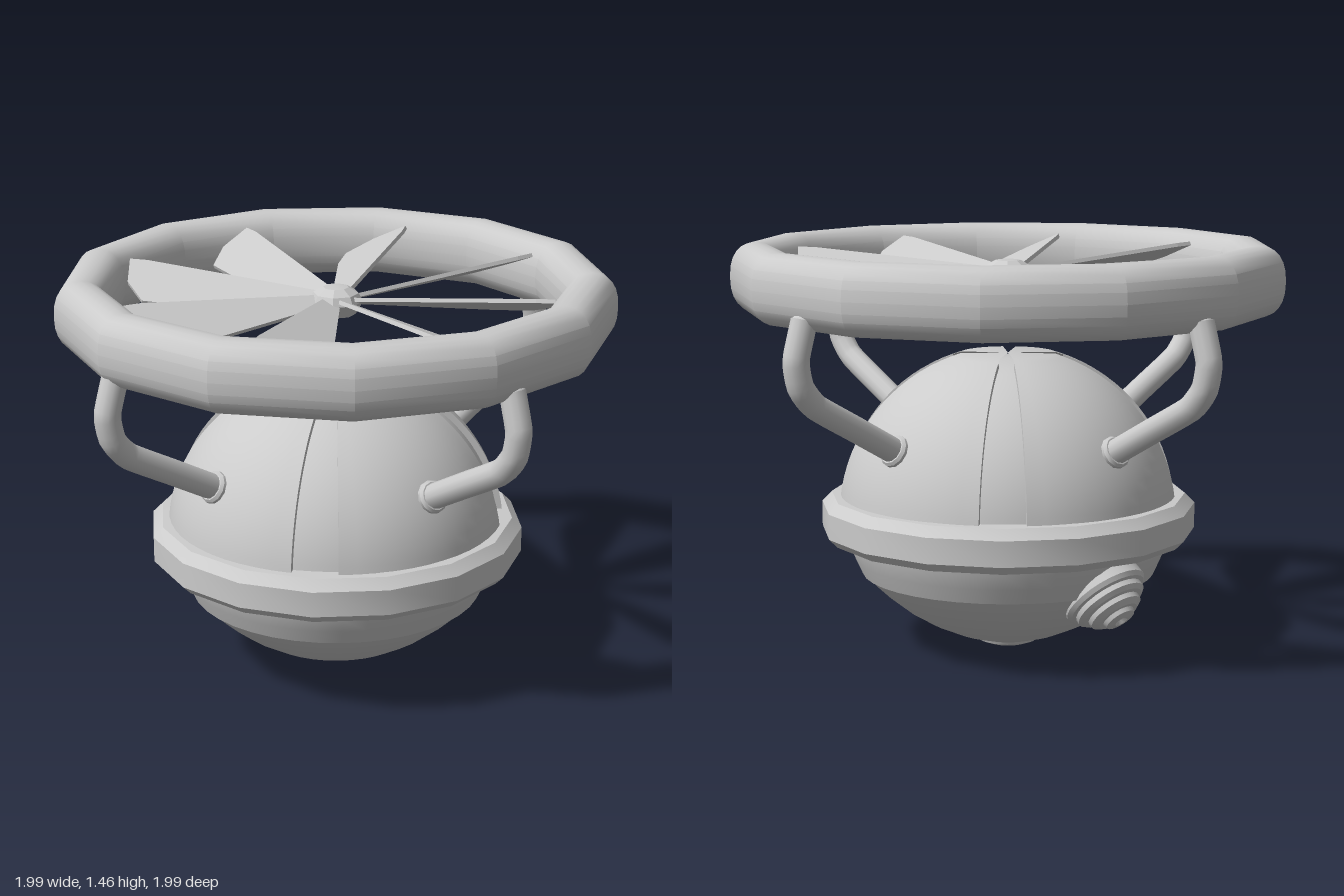
import * as THREE from 'three';
import { toCreasedNormals } from 'three/addons/utils/BufferGeometryUtils.js';

const grey = new THREE.MeshStandardMaterial({ color: 0xcccccc });
const greyDouble = new THREE.MeshStandardMaterial({ color: 0xcccccc, side: THREE.DoubleSide });

function add(parent, name, geometry, material = grey) {
  const mesh = new THREE.Mesh(geometry, material);
  mesh.name = name;
  parent.add(mesh);
  return mesh;
}

// Turned part from [radius, height] pairs listed from bottom to top
function turned(points, segments, start = 0, length = Math.PI * 2, crease = 0.5) {
  const profile = points.map(([r, y]) => new THREE.Vector2(r, y));
  return toCreasedNormals(new THREE.LatheGeometry(profile, segments, start, length), crease);
}

// Arc of a sphere profile, from a low to a high elevation angle
function arcProfile(radius, centreY, from, to, steps) {
  return Array.from({ length: steps + 1 }, (_, i) => {
    const a = from + (to - from) * i / steps;
    return [radius * Math.cos(a), centreY + radius * Math.sin(a)];
  });
}

export function createModel() {
  const model = new THREE.Group();
  model.name = 'fanPod';

  // Dome: a recessed core with four raised panels and the walls of the gaps
  const domeY = 0.479, panelR = 0.605, coreR = 0.583;
  const low = 0.1, high = 1.235, halfGap = 0.135;
  const panelArc = arcProfile(panelR, domeY, low, high, 16);
  const dome = new THREE.Group();
  dome.name = 'dome';
  model.add(dome);
  add(dome, 'domeCore', turned([...arcProfile(coreR, domeY, low, high, 16), [0, 1.04]], 48));
  for (let i = 0; i < 4; i++) {
    const start = i * Math.PI / 2 - Math.PI / 4 + halfGap;
    const length = Math.PI / 2 - 2 * halfGap;
    add(dome, 'domePanel', turned([...panelArc, [0.17, 1.06], [0, 1.06]], 12, start, length), greyDouble);
    for (const angle of [start, start + length]) {
      const wall = add(dome, 'panelEdge',
        new THREE.RingGeometry(coreR - 0.01, panelR, 16, 1, low, high - low), greyDouble);
      wall.position.y = domeY;
      wall.rotation.y = angle - Math.PI / 2;
    }
  }

  // Belt around the middle
  add(model, 'belt', turned([
    [0.54, 0.4], [0.64, 0.4], [0.67, 0.43], [0.67, 0.52], [0.635, 0.555], [0.54, 0.56],
  ], 16));

  // Bowl: band, seam and rounded bottom
  add(model, 'bowlBand', turned([
    [0.5, 0.265], [0.525, 0.27], [0.55, 0.325], [0.57, 0.375], [0.58, 0.42],
  ], 40));
  add(model, 'bowl', turned([
    [0, 0.018], [0.11, 0.025], [0.2, 0.052], [0.29, 0.092], [0.37, 0.14],
    [0.44, 0.195], [0.49, 0.242], [0.515, 0.27],
  ], 40));
  add(model, 'bottomCap', turned([
    [0, 0.008], [0.025, 0], [0.07, 0.002], [0.105, 0.015], [0.112, 0.03],
  ], 24));

  // Stepped port low on the back, pointing outward and down
  const port = add(model, 'rearPort', turned([
    [0.15, -0.05], [0.155, 0.005], [0.145, 0.02], [0.13, 0.024], [0.13, 0.042],
    [0.115, 0.055], [0.1, 0.058], [0.098, 0.075], [0.075, 0.09], [0.06, 0.09],
    [0.055, 0.105], [0.025, 0.112], [0.015, 0.1], [0, 0.1],
  ], 24));
  port.position.set(0, 0.26, -0.49);
  port.quaternion.setFromUnitVectors(
    new THREE.Vector3(0, 1, 0), new THREE.Vector3(0, -0.7, -0.714).normalize());

  // Thirteen-sided duct ring with an oval section
  const section = Array.from({ length: 25 }, (_, i) => {
    const a = i / 24 * Math.PI * 2, c = Math.cos(a), s = Math.sin(a);
    return [0.886 + 0.094 * Math.sign(c) * Math.abs(c) ** 0.85,
      1.332 + 0.123 * Math.sign(s) * Math.abs(s) ** 0.85];
  });
  add(model, 'ductRing', turned(section, 13, -Math.PI / 2));

  // Four bent struts with collars
  const path = new THREE.CatmullRomCurve3([
    [0.5, 0.75], [0.7, 0.862], [0.875, 0.96], [0.935, 1.03], [0.952, 1.12], [0.915, 1.25],
  ].map(([x, y]) => new THREE.Vector3(x, y, 0)), false, 'catmullrom', 0.25);
  const strutGeometry = new THREE.TubeGeometry(path, 30, 0.045, 12);
  const collarGeometry = turned([
    [0.04, -0.05], [0.058, -0.05], [0.058, 0.015], [0.05, 0.025], [0.04, 0.025],
  ], 12, 0, Math.PI * 2, 0.6);
  for (let i = 0; i < 4; i++) {
    const strut = new THREE.Group();
    strut.name = 'strut';
    strut.rotation.y = i * Math.PI / 2;
    model.add(strut);
    add(strut, 'strutPipe', strutGeometry);
    const tip = add(strut, 'strutEnd', new THREE.SphereGeometry(0.045, 12, 8));
    tip.position.set(0.915, 1.25, 0);
    tip.scale.y = 0.5;
    const collar = add(strut, 'strutCollar', collarGeometry);
    collar.position.set(0.525, 0.764, 0);
    collar.rotation.z = -1.06;
  }

  // Propeller: hub and eight pitched blades
  const propeller = new THREE.Group();
  propeller.name = 'propeller';
  propeller.position.y = 1.34;
  model.add(propeller);
  add(propeller, 'hub', turned([
    [0, -0.06], [0.07, -0.045], [0.095, 0], [0.08, 0.03], [0.045, 0.05], [0, 0.055],
  ], 8, 0, Math.PI * 2, 0.3));
  const outline = new THREE.Shape([
    [0.05, -0.02], [0.55, -0.06], [0.68, -0.045], [0.75, 0.06], [0.765, 0.19], [0.7, 0.185], [0.05, 0.04],
  ].map(([x, y]) => new THREE.Vector2(x, y)));
  const bladeGeometry = new THREE.ExtrudeGeometry(outline, { depth: 0.014, bevelEnabled: false });
  bladeGeometry.translate(0, 0, -0.007).rotateX(Math.PI / 2).rotateX(-0.4);
  for (let i = 0; i < 8; i++) {
    add(propeller, 'blade', bladeGeometry).rotation.y = i * Math.PI / 4;
  }

  return model;
}
